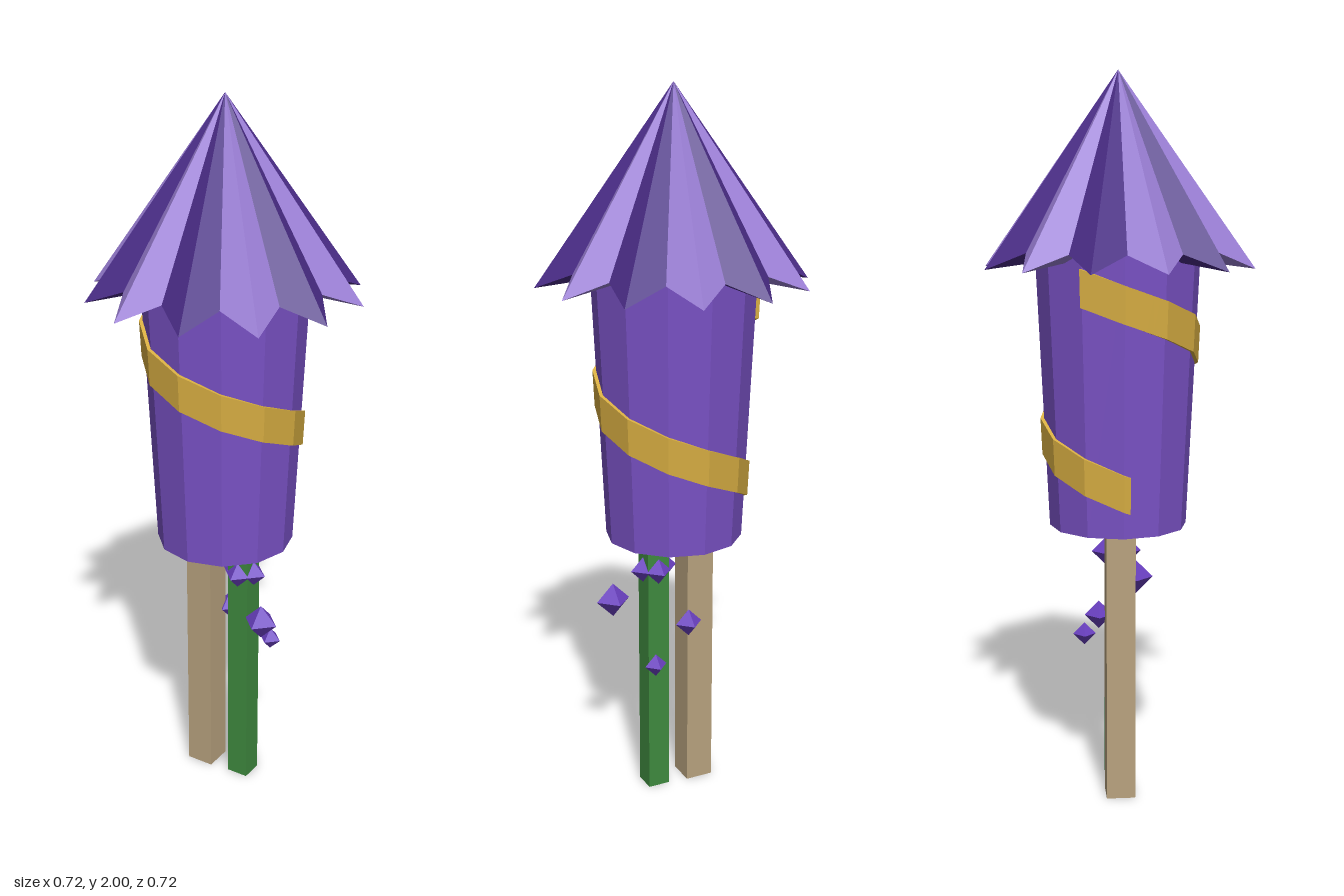
import * as THREE from 'three';

const mat = (name, color) => {
  const m = new THREE.MeshStandardMaterial({ color, flatShading: true });
  m.name = name;
  return m;
};

// Flat-faced geometry from a list of quads and triangles
function faces(list) {
  const pos = [];
  for (const f of list)
    for (let i = 1; i < f.length - 1; i++)
      for (const p of [f[0], f[i], f[i + 1]]) pos.push(...p);
  const g = new THREE.BufferGeometry();
  g.setAttribute('position', new THREE.Float32BufferAttribute(pos, 3));
  g.computeVertexNormals();
  return g;
}

const BOTTOM = 0.77, TOP = 1.525, R_BOTTOM = 0.19, R_TOP = 0.225;
const bodyRadius = y => R_BOTTOM + (R_TOP - R_BOTTOM) * (y - BOTTOM) / (TOP - BOTTOM);

// One folded spike of the star-shaped nose cone, closed underneath
function spike(angle) {
  const at = (a, r, y) => [r * Math.cos(a), y, r * Math.sin(a)];
  const half = Math.PI / 12;
  const apex = [0, 2, 0], hub = [0, TOP, 0];
  const v0 = at(angle - half, 0.29, TOP), v1 = at(angle + half, 0.29, TOP);
  const tip = at(angle, 0.372, 1.48);
  return [[apex, v1, tip], [apex, tip, v0], [hub, v0, tip], [hub, tip, v1]];
}

// Ribbon winding down round the twelve-sided body
function ribbonGeometry() {
  const start = -30, end = 365, step = 5, height = 0.1;
  const rings = [];
  for (let d = start; d <= end; d += step) {
    const a = THREE.MathUtils.degToRad(d);
    const y = 1.395 - 0.125 * d / 90;
    const inFacet = THREE.MathUtils.degToRad(((d + 360) % 30) - 15);
    const k = Math.cos(Math.PI / 12) / Math.cos(inFacet);
    const p = (h, out) => {
      const r = (bodyRadius(y + h) + out) * k;
      return [-r * Math.cos(a), y + h, r * Math.sin(a)];
    };
    const h = height / 2;
    rings.push([p(-h, 0.01), p(h, 0.01), p(h, -0.005), p(-h, -0.005)]);
  }
  const list = [rings[0], [...rings[rings.length - 1]].reverse()];
  for (let i = 0; i < rings.length - 1; i++)
    for (let k = 0; k < 4; k++) {
      const n = (k + 1) % 4;
      list.push([rings[i][k], rings[i + 1][k], rings[i + 1][n], rings[i][n]]);
    }
  return faces(list);
}

export function createModel() {
  const model = new THREE.Group();
  model.name = 'fireworkRocket';
  const purple = mat('body purple', 0x7a52c6);
  const dark = mat('dark purple', 0x4b2d88);
  const light = mat('light purple', 0x9b7fd6);
  const gold = mat('gold', 0xd8ae42);
  const wood = mat('wood', 0xb8a27e);
  const green = mat('fuse green', 0x3f8a3f);
  const spark = mat('spark purple', 0x6a40c0);

  const add = (name, geometry, material, x = 0, y = 0, z = 0) => {
    const m = new THREE.Mesh(geometry, material);
    m.name = name;
    m.position.set(x, y, z);
    model.add(m);
    return m;
  };

  // Tapered body
  add('body', new THREE.CylinderGeometry(R_TOP, R_BOTTOM, TOP - BOTTOM, 12), purple, 0, (TOP + BOTTOM) / 2);

  // Nose cone in alternating colours
  const spikes = [[], []];
  for (let i = 0; i < 12; i++) spikes[i % 2].push(...spike((i + 0.5) * Math.PI / 6));
  add('noseConeDarkSpikes', faces(spikes[0]), dark);
  add('noseConeLightSpikes', faces(spikes[1]), light);

  add('ribbon', ribbonGeometry(), gold);

  // Stick and fuse
  add('stick', new THREE.BoxGeometry(0.08, 0.78, 0.08), wood, -0.065, 0.39, 0);
  add('fuse', new THREE.BoxGeometry(0.064, 0.78, 0.064), green, 0.0625, 0.39, 0);

  // Sparks: four clustered on the fuse, three floating
  const sparks = [[0.16, 0.57, 0.065, 0.05], [-0.02, 0.513, -0.056, 0.04], [0.1, 0.42, -0.09, 0.033]];
  for (const [dx, dz] of [[1, 0], [-1, 0], [0, 1], [0, -1]])
    sparks.push([0.0625 + dx * 0.033, 0.675, dz * 0.033, 0.037]);
  for (const [x, y, z, r] of sparks) add('spark', new THREE.OctahedronGeometry(r), spark, x, y, z);

  return model;
}
